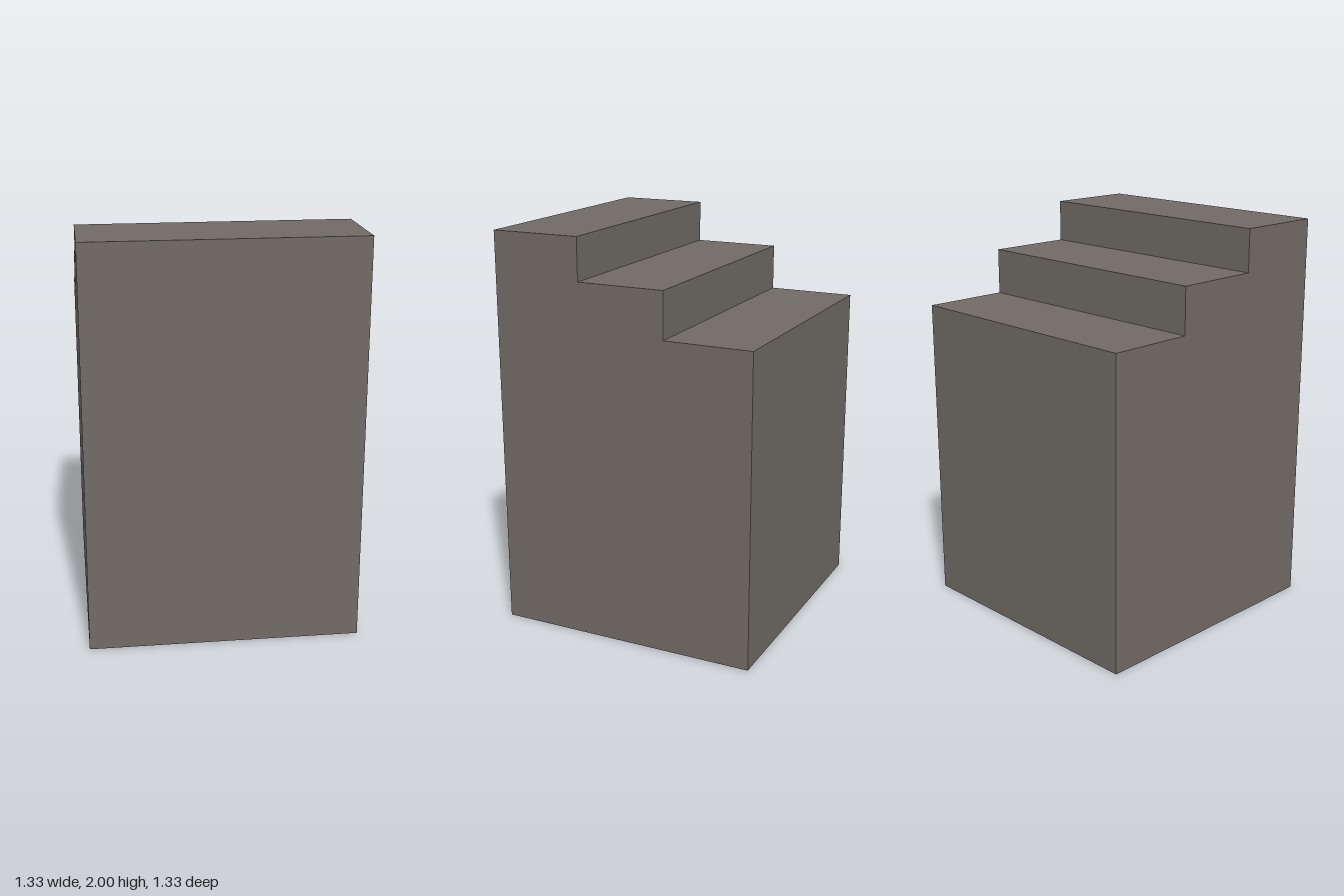
import * as THREE from 'three';

export function createModel() {
  const group = new THREE.Group();
  group.name = 'steppedBlock';
  const stone = new THREE.MeshStandardMaterial({ color: 0x706a65 });
  stone.name = 'warm grey stone';

  const half = 0.665;
  // Side profile as (z, y): three treads climbing from the back to the front
  const profile = [
    [-half, 0], [half, 0], [half, 2], [0.215, 2],
    [0.215, 1.79], [-0.225, 1.79], [-0.225, 1.56], [-half, 1.56],
  ];
  const shape = new THREE.Shape(profile.map(([z, y]) => new THREE.Vector2(z, y)));

  // Sweep the profile across the width, then turn it so its first axis runs along z
  const geometry = new THREE.ExtrudeGeometry(shape, { depth: half * 2, bevelEnabled: false });
  geometry.translate(0, 0, -half);
  geometry.rotateY(-Math.PI / 2);

  const steps = new THREE.Mesh(geometry, stone);
  steps.name = 'steps';
  group.add(steps);
  return group;
}
